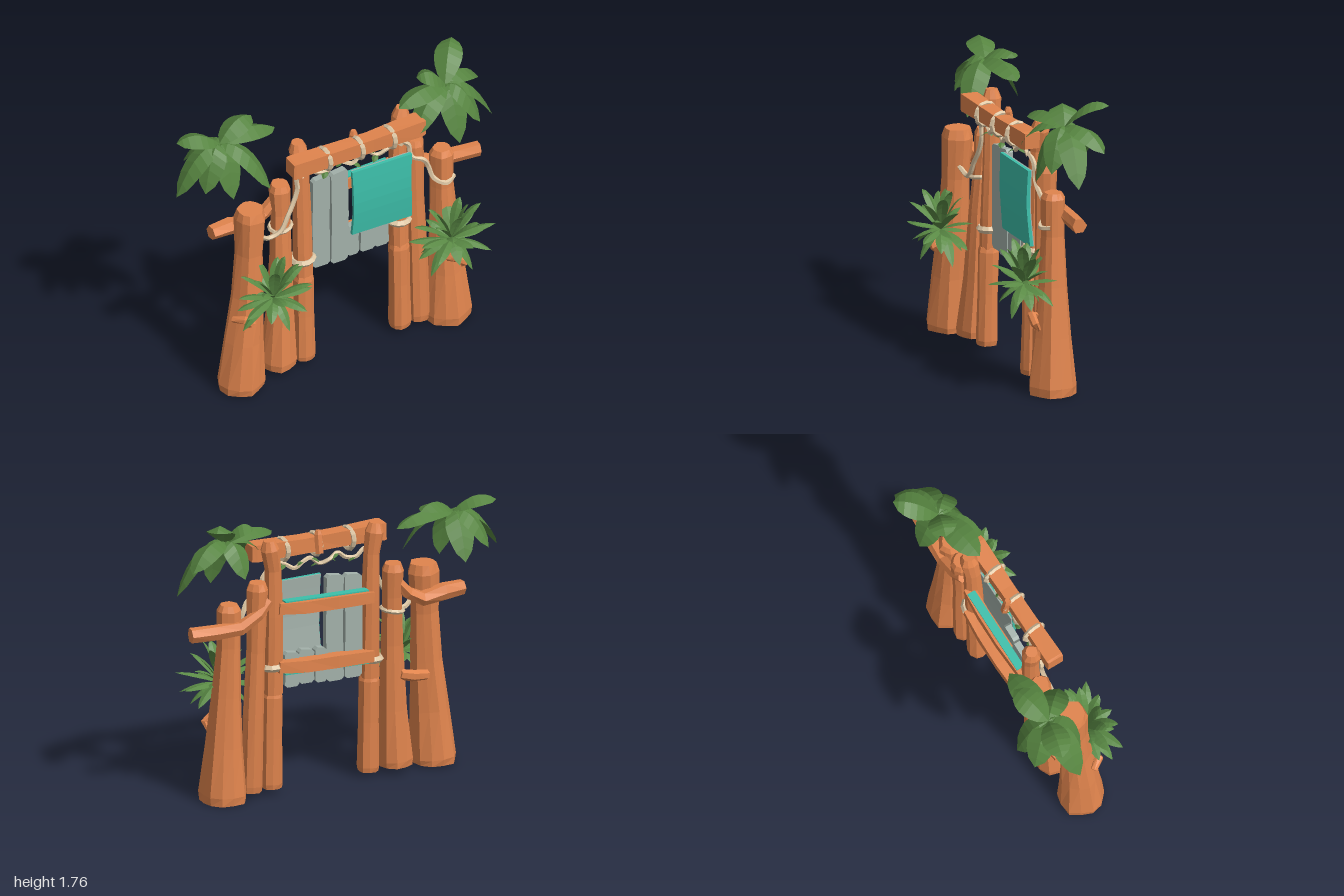
import * as THREE from 'three';
import { mergeGeometries } from 'three/addons/utils/BufferGeometryUtils.js';

const V = (x, y, z) => new THREE.Vector3(x, y, z);
const mat = (name, color, extra = {}) => {
  const m = new THREE.MeshStandardMaterial({ color, flatShading: true, ...extra });
  m.name = name;
  return m;
};

export function createModel() {
  const group = new THREE.Group();
  group.name = 'jungleGate';
  const wood = mat('wood', 0xe0844d);
  const plankGrey = mat('plankGrey', 0xa3b1aa);
  const teal = mat('teal', 0x3dbfaa);
  const rope = mat('rope', 0xe0c9a6);
  const palmGreen = mat('palmGreen', 0x568440, { side: THREE.DoubleSide });
  const bushGreen = mat('bushGreen', 0x5a8a45, { side: THREE.DoubleSide });

  const add = (name, geo, material) => {
    const m = new THREE.Mesh(geo, material);
    m.name = name;
    group.add(m);
    return m;
  };

  // Rough log: rings [x, y, z, radius] joined along a path, ends capped
  function log(name, stations, sides = 10, phase = 0, rough = 0.06) {
    const c = stations.map(s => V(s[0], s[1], s[2]));
    const pos = [], idx = [];
    stations.forEach((s, i) => {
      const t = c[Math.min(i + 1, c.length - 1)].clone().sub(c[Math.max(i - 1, 0)]).normalize();
      const u = V(0, 0, 1).cross(t).normalize(), v = t.clone().cross(u);
      for (let j = 0; j < sides; j++) {
        const a = phase + j / sides * Math.PI * 2;
        const r = s[3] * (1 + rough * Math.sin(j * 2.7 + i * 0.5 + s[0] * 9));
        const p = c[i].clone().addScaledVector(u, r * Math.cos(a)).addScaledVector(v, r * Math.sin(a));
        pos.push(p.x, p.y, p.z);
      }
    });
    const n = c.length, first = n * sides, last = first + 1;
    pos.push(...c[0].toArray(), ...c[n - 1].toArray());
    for (let j = 0; j < sides; j++) {
      const k = (j + 1) % sides;
      for (let i = 0; i < n - 1; i++) {
        const a = i * sides + j, b = i * sides + k;
        idx.push(a, b, b + sides, a, b + sides, a + sides);
      }
      idx.push(first, k, j, last, (n - 1) * sides + j, (n - 1) * sides + k);
    }
    const g = new THREE.BufferGeometry();
    g.setAttribute('position', new THREE.Float32BufferAttribute(pos, 3));
    g.setIndex(idx);
    g.computeVertexNormals();
    return add(name, g, wood);
  }

  // Standing posts, flared at the foot and bevelled at the top
  log('outerPostRight', [[-0.69, 0.02, 0.055, 0.132], [-0.69, 0.06, 0.055, 0.138], [-0.67, 0.35, 0.055, 0.113],
    [-0.64, 0.65, 0.05, 0.092], [-0.625, 0.95, 0.045, 0.08], [-0.615, 1.19, 0.04, 0.091], [-0.615, 1.245, 0.04, 0.075]], 12);
  log('innerSidePostRight', [[-0.42, 0.05, 0.02, 0.098], [-0.42, 0.09, 0.02, 0.103], [-0.405, 0.4, 0.01, 0.08],
    [-0.395, 0.8, 0, 0.065], [-0.385, 1.1, -0.02, 0.058], [-0.385, 1.26, -0.03, 0.067], [-0.385, 1.3, -0.03, 0.05]]);
  log('outerPostLeft', [[0.685, 0.01, 0.025, 0.135], [0.685, 0.06, 0.025, 0.139], [0.68, 0.35, 0.02, 0.108],
    [0.67, 0.65, 0.015, 0.085], [0.66, 0.95, 0.01, 0.068], [0.66, 1.17, 0.01, 0.07], [0.66, 1.205, 0.01, 0.05]], 12);
  log('innerSidePostLeft', [[0.51, 0.04, 0.01, 0.06], [0.51, 0.08, 0.01, 0.066], [0.505, 0.5, 0, 0.064],
    [0.495, 0.9, -0.01, 0.058], [0.49, 1.28, -0.02, 0.065], [0.49, 1.32, -0.02, 0.048]]);

  // Gate posts: a lower log with a slimmer, leaning one on top
  for (const [side, x, lean] of [['Right', -0.25, -0.02], ['Left', 0.378, 0.03]]) {
    log('gatePostLower' + side, [[x, 0.04, 0.02, 0.06], [x, 0.07, 0.02, 0.066], [x, 0.35, 0.015, 0.062],
      [x, 0.6, 0.01, 0.064], [x, 0.63, 0.01, 0.055]]);
    log('gatePostUpper' + side, [[x, 0.62, 0.005, 0.058], [x, 0.8, 0, 0.058], [x, 1.1, -0.01, 0.056],
      [x + lean * 0.2, 1.38, -0.015, 0.05], [x + lean, 1.51, -0.02, 0.057], [x + lean * 1.2, 1.565, -0.02, 0.035]]);
  }

  // Top beam and its peg
  log('topBeam', [[-0.375, 1.475, 0.08, 0.07], [-0.36, 1.475, 0.08, 0.074], [-0.1, 1.472, 0.078, 0.065],
    [0.15, 1.47, 0.075, 0.063], [0.47, 1.475, 0.07, 0.073], [0.5, 1.475, 0.07, 0.066]], 4, Math.PI / 4, 0.03);
  log('beamPeg', [[0.07, 1.42, 0.01, 0.025], [0.07, 1.53, 0.03, 0.025], [0.07, 1.555, 0.03, 0.015]], 6);

  // Side rails behind the posts
  log('sideRailRight', [[-0.825, 1.09, -0.05, 0.045], [-0.7, 1.085, -0.06, 0.05], [-0.56, 1.06, -0.06, 0.045],
    [-0.47, 1.11, -0.055, 0.04], [-0.38, 1.21, -0.05, 0.034]], 6, 0.5);
  log('sideRailLeft', [[0.93, 1.07, -0.035, 0.045], [0.78, 1.07, -0.05, 0.045], [0.62, 1.075, -0.06, 0.042],
    [0.5, 1.14, -0.06, 0.035], [0.43, 1.21, -0.05, 0.03]], 6, 0.5);
  log('backBranch', [[-0.42, 0.62, -0.05, 0.032], [-0.5, 0.6, -0.055, 0.035], [-0.6, 0.585, -0.04, 0.03]], 6);

  // Small curled stubs on the outer posts
  for (const [x, y] of [[-0.71, 0.52], [0.7, 0.45]]) {
    log('curledStub', [[x - 0.05, y + 0.02, 0.1, 0.02], [x - 0.01, y + 0.04, 0.16, 0.026],
      [x + 0.04, y, 0.16, 0.024], [x + 0.03, y - 0.04, 0.13, 0.012]], 6);
  }

  // Back crossbars between the gate posts, with a painted edge
  for (const [y, edge] of [[1.14, 1], [0.78, -1]]) {
    const name = edge > 0 ? 'upperCrossbar' : 'lowerCrossbar';
    log(name, [[-0.24, y - 0.015, -0.045, 0.047], [0, y - 0.005, -0.055, 0.052], [0.2, y, -0.055, 0.05],
      [0.37, y + 0.012, -0.045, 0.047]], 4, Math.PI / 4, 0.03);
    const strip = add(name + 'Paint', new THREE.BoxGeometry(0.54, 0.008, 0.05), teal);
    strip.position.set(0.065, y + edge * 0.041, -0.052);
    strip.rotation.z = 0.03;
  }

  // Hanging planks, the last three cut short behind the banner: [left, right, bottom, top]
  const planks = [[-0.187, -0.075, 0.64, 1.275], [-0.073, 0.037, 0.635, 1.285], [0.038, 0.116, 0.645, 0.86],
    [0.118, 0.216, 0.65, 0.86], [0.218, 0.312, 0.645, 0.86]];
  planks.forEach(([l, r, b, t], i) => {
    const s = new THREE.Shape(), k = 0.016, d = i % 2 ? 0.006 : -0.004;
    s.moveTo(l + k, b); s.lineTo(r - k, b); s.lineTo(r, b + k); s.lineTo(r + d, (b + t) / 2);
    s.lineTo(r, t - k); s.lineTo(r - k, t); s.lineTo(l + k, t - 0.01); s.lineTo(l, t - k * 1.5);
    s.lineTo(l + d, (b + t) / 2); s.lineTo(l, b + k);
    const g = new THREE.ExtrudeGeometry(s, { depth: 0.04, bevelEnabled: false });
    add('plank', g, plankGrey).position.z = -0.025 + (i % 2) * 0.008;
  });

  // Banner leaning forward at the top, with a grey backing
  function banner(name, w, thick, z, material) {
    const g = new THREE.BoxGeometry(w, 0.455, thick, 4, 6, 1), p = g.attributes.position;
    for (let i = 0; i < p.count; i++) {
      const x = p.getX(i), y = p.getY(i);
      p.setX(i, x * (1 - 0.04 * Math.cos(y * 6)) + (y < 0 ? 0.005 : 0));
      p.setY(i, y - 0.01 * x);
      p.setZ(i, p.getZ(i) + 0.008 * Math.cos(y * 9) + 0.025 * y);
    }
    g.computeVertexNormals();
    add(name, g, material).position.set(0.238, 1.05, z);
  }
  banner('banner', 0.395, 0.02, 0.055, teal);
  banner('bannerBacking', 0.385, 0.008, 0.041, plankGrey);

  // Ropes
  const cord = (name, pts, r) =>
    add(name, new THREE.TubeGeometry(new THREE.CatmullRomCurve3(pts.map(p => V(...p))), pts.length * 5, r, 5), rope);
  const wrap = (name, x, y, z, radius, thick, rx, ry) => {
    const m = add(name, new THREE.TorusGeometry(radius, thick, 5, 12), rope);
    m.rotation.set(rx, ry, 0);
    m.position.set(x, y, z);
  };
  for (const x of [-0.145, 0.07, 0.28]) wrap('beamLashing', x, 1.46, 0.073, 0.065, 0.015, 0, Math.PI / 2 + 0.12);
  wrap('postLashing', -0.25, 0.735, 0.0, 0.06, 0.022, Math.PI / 2, 0.08);
  wrap('postLashing', 0.378, 0.79, 0.0, 0.06, 0.022, Math.PI / 2, -0.08);
  wrap('sideLashing', -0.39, 1.01, -0.01, 0.063, 0.014, Math.PI / 2, 0.15);
  const garland = [];
  for (let i = 0; i <= 12; i++)
    garland.push([-0.29 + i * 0.056, 1.365 + 0.025 * Math.sin(i * 1.9), 0.05 + 0.012 * Math.cos(i * 1.9)]);
  cord('garlandRope', garland, 0.013);
  cord('sideRopeRight', [[-0.28, 1.37, 0.04], [-0.305, 1.34, 0.03], [-0.3, 1.27, 0.03], [-0.33, 1.18, 0.035],
    [-0.37, 1.11, 0.045], [-0.42, 1.02, 0.05], [-0.49, 0.99, 0.04], [-0.55, 1.03, 0.06]], 0.015);
  cord('sideRopeLeft', [[0.38, 1.37, 0.04], [0.43, 1.32, 0.03], [0.45, 1.23, 0.03], [0.52, 1.19, 0.045],
    [0.56, 1.12, 0.03], [0.59, 1.03, 0.045], [0.65, 1.0, 0.085], [0.72, 1.01, 0.05]], 0.015);

  // Folded leaf arching from base to tip; blunt < 1 gives a broader outline
  function leaf(base, tip, lift, width, fold, blunt) {
    const mid = base.clone().lerp(tip, 0.55);
    mid.y = Math.max(base.y, tip.y) * 0.7 + mid.y * 0.3 + lift;
    const curve = new THREE.QuadraticBezierCurve3(base, mid, tip);
    const side = V(tip.z - base.z, 0, base.x - tip.x).normalize();
    const pos = [], idx = [], rows = 7;
    for (let i = 0; i <= rows; i++) {
      const t = i / rows, c = curve.getPoint(t);
      const w = i === rows ? 0 : width * (0.1 + Math.pow(Math.sin(Math.PI * t), blunt));
      for (const s of [-1, 0, 1])
        pos.push(c.x + side.x * w * s, c.y - Math.abs(s) * w * fold, c.z + side.z * w * s);
      if (i < rows) for (const k of [0, 1]) {
        const a = i * 3 + k;
        idx.push(a, a + 1, a + 4, a, a + 4, a + 3);
      }
    }
    const g = new THREE.BufferGeometry();
    g.setAttribute('position', new THREE.Float32BufferAttribute(pos, 3));
    g.setIndex(idx);
    g.computeVertexNormals();
    return g;
  }

  // Palm crowns: tips of the broad leaves
  const crowns = [
    ['palmCrownRight', V(-0.7, 1.61, -0.17), [[-0.95, 1.66, -0.23], [-1.0, 1.35, -0.14], [-0.86, 1.38, -0.05], [-0.69, 1.3, -0.02],
      [-0.48, 1.34, 0.04], [-0.32, 1.57, -0.2], [-0.45, 1.67, -0.25], [-0.68, 1.36, -0.37], [-0.84, 1.42, -0.35]]],
    ['palmCrownLeft', V(0.71, 1.61, -0.04), [[0.37, 1.6, 0.03], [0.55, 1.68, -0.09], [0.87, 1.75, -0.25], [0.98, 1.5, -0.17],
      [1.0, 1.31, 0.0], [0.86, 1.38, 0.11], [0.71, 1.3, 0.14], [0.43, 1.43, 0.11], [0.66, 1.42, -0.2]]]];
  for (const [name, c, tips] of crowns)
    add(name, mergeGeometries(tips.map(t => leaf(c, V(...t), 0.1, 0.076, 0.5, 0.7))), palmGreen);

  // Spiky bushes tied to the posts
  for (const [name, x] of [['bushRight', -0.54], ['bushLeft', 0.63]]) {
    const c = V(x, 0.67, 0.18), leaves = [];
    for (let i = 0; i < 30; i++) {
      const a = i * 2.4 + x, e = 1.15 - i * 0.071, len = 0.26 + 0.03 * Math.sin(i * 3.1);
      const tip = V(x + Math.cos(a) * Math.cos(e) * len, 0.68 + Math.sin(e) * len * (e < 0 ? 0.85 : 1),
        0.19 + Math.sin(a) * Math.cos(e) * len * 0.66);
      leaves.push(leaf(c, tip, 0.02, 0.031, 0.4, 0.9));
    }
    add(name, mergeGeometries(leaves), bushGreen);
  }

  // Small leaves along the garland
  const sprigs = garland.slice(1, 12).map(([x, y, z], i) =>
    leaf(V(x, y, z), V(x + (i % 2 ? 0.045 : -0.04), y - 0.025, z + (i % 3 - 1) * 0.03), 0.015, 0.018, 0.3, 1));
  add('garlandLeaves', mergeGeometries(sprigs), palmGreen);

  return group;
}
